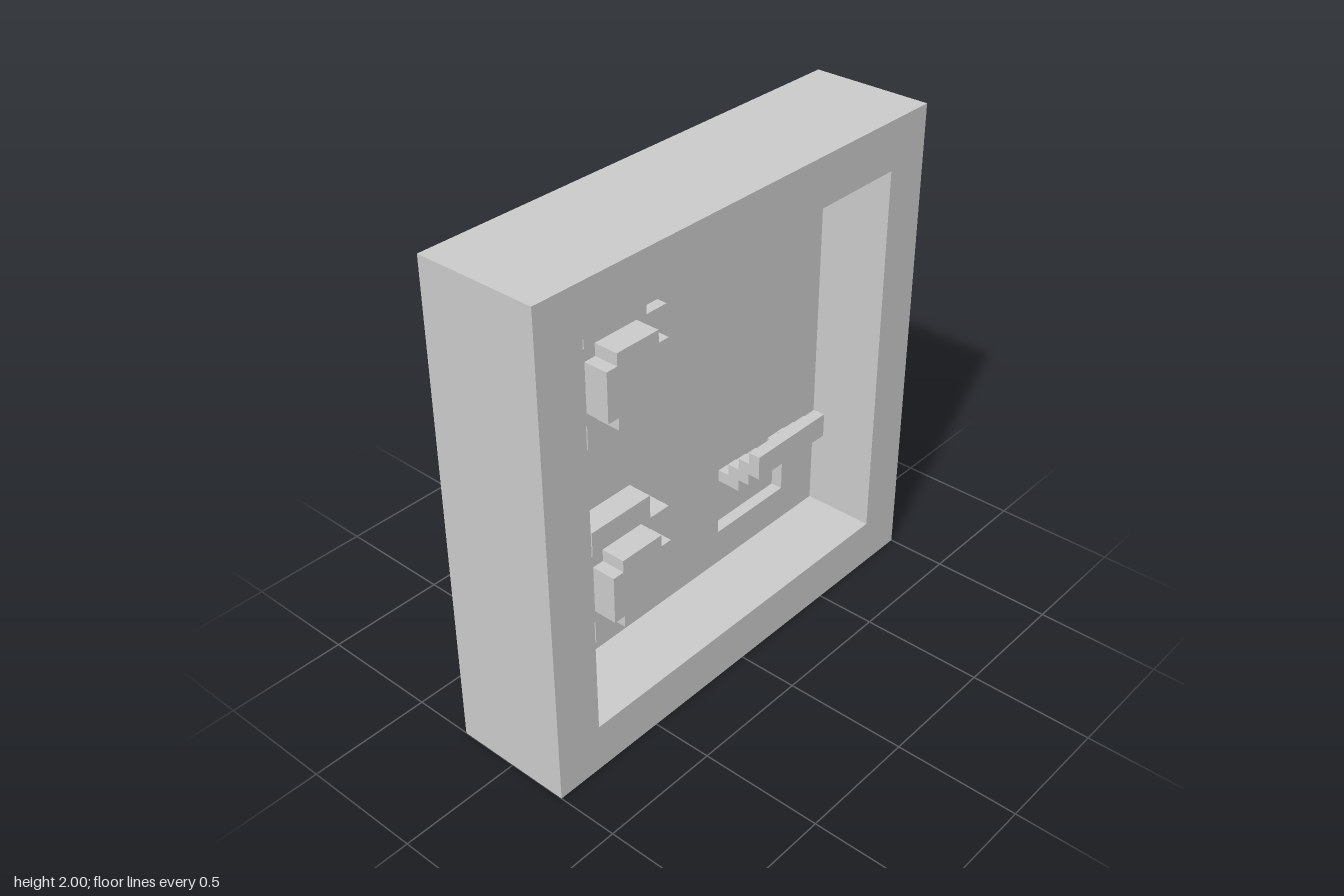
import * as THREE from 'three';

const material = new THREE.MeshStandardMaterial({ color: 0xcccccc, flatShading: true });

// Box given by its limits on each axis
function box(name, x0, x1, y0, y1, z0, z1) {
  const mesh = new THREE.Mesh(new THREE.BoxGeometry(x1 - x0, y1 - y0, z1 - z0), material);
  mesh.position.set((x0 + x1) / 2, (y0 + y1) / 2, (z0 + z1) / 2);
  mesh.name = name;
  return mesh;
}

function rectangle(PathType, x0, x1, y0, y1) {
  return new PathType([[x0, y0], [x1, y0], [x1, y1], [x0, y1]].map(p => new THREE.Vector2(...p)));
}

function extrude(name, shape, z0, z1) {
  const geometry = new THREE.ExtrudeGeometry(shape, { depth: z1 - z0, bevelEnabled: false });
  const mesh = new THREE.Mesh(geometry, material);
  mesh.position.z = z0;
  mesh.name = name;
  return mesh;
}

// Plate with a rectangular opening
function plate(name, outer, hole, z0, z1) {
  const shape = rectangle(THREE.Shape, ...outer);
  shape.holes.push(rectangle(THREE.Path, ...hole));
  return extrude(name, shape, z0, z1);
}

// Plus-shaped outline: arms reach r, their half width is w
function plusShape(r, w) {
  const points = [];
  for (let i = 0; i < 4; i++) {
    const a = i * Math.PI / 2;
    for (const [x, y] of [[r, -w], [r, w], [w, w]]) {
      points.push(new THREE.Vector2(
        x * Math.cos(a) - y * Math.sin(a), x * Math.sin(a) + y * Math.cos(a)));
    }
  }
  return new THREE.Shape(points);
}

// Dial: a wide stepped base with a smaller notched cap
function dial(name, x, y) {
  const group = new THREE.Group();
  group.name = name;
  group.add(extrude('dialBase', plusShape(0.25, 0.15), -0.05, 0.05));
  group.add(extrude('dialCap', plusShape(0.15, 0.1), 0.05, 0.15));
  group.position.set(x, y, 0);
  return group;
}

// Handle: a bar carried by two stepped brackets
function handle() {
  const group = new THREE.Group();
  group.name = 'handle';
  group.add(box('handleBar', 0.2, 0.6, 0.7, 0.8, 0.1, 0.15));
  for (const x of [0.2, 0.5]) {
    group.add(box('bracketFrontStep', x, x + 0.1, 0.65, 0.75, 0.05, 0.1));
    group.add(box('bracketMiddleStep', x, x + 0.1, 0.6, 0.7, 0, 0.05));
    group.add(box('bracketRearStep', x, x + 0.1, 0.6, 0.65, -0.05, 0));
  }
  return group;
}

export function createModel() {
  const model = new THREE.Group();
  model.name = 'wallPanel';

  // Housing: solid back, slotted face panel, raised rim
  const outer = [-1, 1, 0, 2];
  model.add(box('backPlate', ...outer, -0.25, -0.1));
  model.add(plate('slottedPanel', outer, [0.2, 0.6, 0.35, 0.5], -0.1, -0.05));
  model.add(plate('rim', outer, [-0.8, 0.8, 0.2, 1.8], -0.05, 0.25));

  // Controls
  model.add(dial('upperDial', -0.45, 1.45));
  model.add(dial('lowerDial', -0.45, 0.6));
  model.add(handle());
  return model;
}
